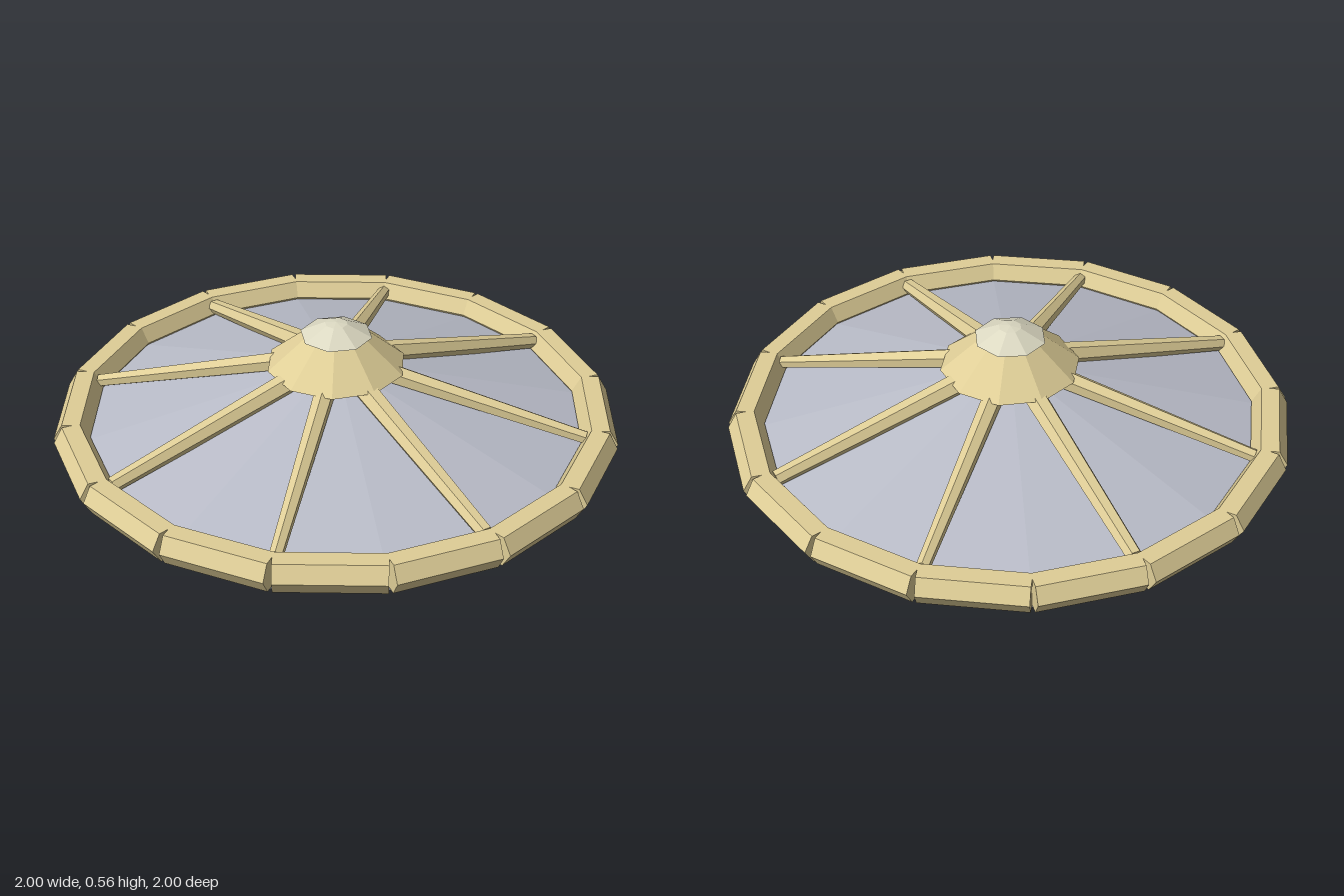
import * as THREE from 'three';

const paint = (name, color) => new THREE.MeshStandardMaterial({ name, color, flatShading: true });

export function createModel() {
  const wood = paint('pale wood', 0xdfce97);
  const metal = paint('grey board', 0xb9bcc8);
  const bone = paint('pale cap', 0xdcd9c2);
  const brown = paint('brown grip', 0x8e7364);

  const shield = new THREE.Group();
  shield.name = 'roundShield';

  const add = (name, geometry, material, parent = shield) => {
    const mesh = new THREE.Mesh(geometry, material);
    mesh.name = name;
    parent.add(mesh);
    return mesh;
  };
  const lathe = (points, sides) =>
    new THREE.LatheGeometry(points.map(([x, y]) => new THREE.Vector2(x, y)), sides);

  // Shallow conical board, hollow cone underneath
  add('board', lathe([[0, 0.23], [0.9, 0.085], [0.91, 0.13], [0.9, 0.17], [0, 0.41]], 16), metal);

  // Rim of sixteen straight hexagonal bars with open notches between them
  const rim = new THREE.Group();
  rim.name = 'rim';
  shield.add(rim);
  const bar = new THREE.CylinderGeometry(0.0635, 0.0635, 0.364, 6)
    .rotateX(Math.PI / 2) // bar lies along z
    .rotateZ(Math.PI / 2) // flat sides up and down
    .translate(0.919, 0.185, 0);
  for (let i = 0; i < 16; i++) {
    add('rimBar', bar, wood, rim).rotation.y = (i + 0.5) * Math.PI / 8;
  }

  // Eight tapered spokes running down from the hub, the four main ones thicker
  const spokes = new THREE.Group();
  spokes.name = 'spokes';
  shield.add(spokes);
  const inner = new THREE.Vector2(0.12, 0.398);
  const outer = new THREE.Vector2(0.885, 0.208);
  const run = outer.clone().sub(inner);
  const makeSpoke = (outerRadius, innerRadius, roll) =>
    new THREE.CylinderGeometry(outerRadius, innerRadius, run.length(), 6)
      .rotateY(roll)
      .rotateZ(run.angle() - Math.PI / 2)
      .translate((inner.x + outer.x) / 2, (inner.y + outer.y) / 2, 0);
  const mainSpoke = makeSpoke(0.028, 0.042, 0); // flat side up
  const diagonalSpoke = makeSpoke(0.024, 0.038, Math.PI / 6); // ridge up
  for (let i = 0; i < 8; i++) {
    add('spoke', i % 2 ? diagonalSpoke : mainSpoke, wood, spokes).rotation.y = i * Math.PI / 4;
  }

  // Central boss and its overhanging faceted cap
  add('hub', lathe([[0, 0.398], [0.246, 0.398], [0.11, 0.513], [0, 0.513]], 10), wood);
  add('hubCap', lathe([[0, 0.513], [0.127, 0.513], [0.04, 0.556], [0, 0.561]], 8), bone);

  // Hand grip under the board
  const grip = new THREE.Group();
  grip.name = 'grip';
  shield.add(grip);
  add('gripBar', new THREE.CylinderGeometry(0.05, 0.05, 0.385, 8)
    .rotateZ(Math.PI / 2).translate(0, 0.05, 0), brown, grip);
  for (const side of [-1, 1]) {
    add('gripPost', new THREE.BoxGeometry(0.06, 0.17, 0.08), brown, grip)
      .position.set(side * 0.193, 0.135, 0);
  }
  return shield;
}
